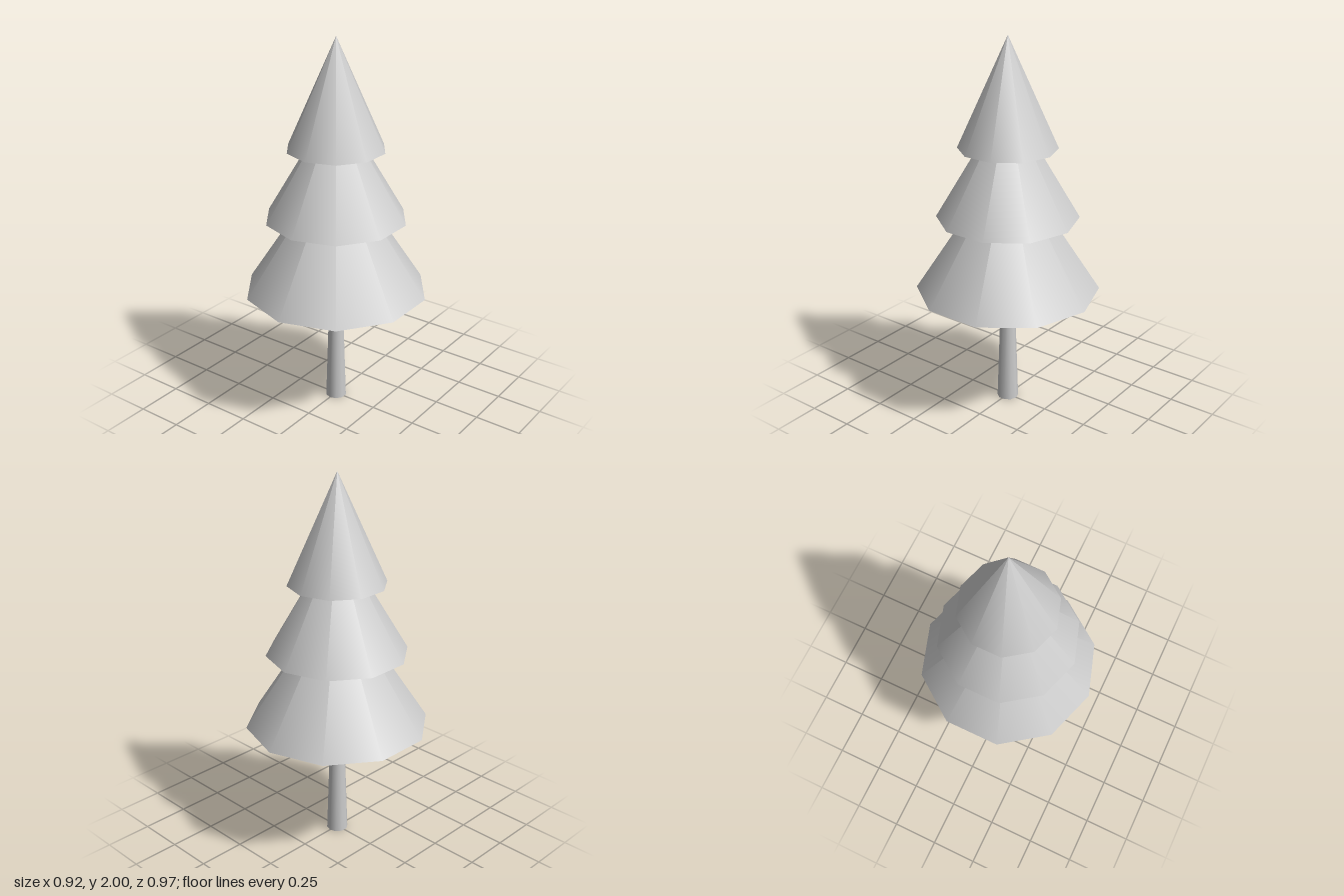
import * as THREE from 'three';

const SIDES = 10;

export function createModel() {
  const tree = new THREE.Group();
  tree.name = 'pineTree';
  const grey = new THREE.MeshStandardMaterial({ color: 0xcccccc, side: THREE.DoubleSide });
  grey.name = 'light grey';

  // Tapered trunk, open at both ends
  const trunkHeight = 0.68;
  const trunk = new THREE.Mesh(
    new THREE.CylinderGeometry(0.035, 0.057, trunkHeight, SIDES, 1, true), grey);
  trunk.name = 'trunk';
  trunk.position.y = trunkHeight / 2;
  tree.add(trunk);

  // Stacked foliage cones: radius, bottom, apex
  const tiers = [
    ['lowerFoliage', 0.484, 0.66, 1.40],
    ['middleFoliage', 0.371, 1.063, 1.69],
    ['upperFoliage', 0.256, 1.433, 2.0],
  ];
  for (const [name, radius, bottom, apex] of tiers) {
    const cone = new THREE.Mesh(new THREE.ConeGeometry(radius, apex - bottom, SIDES), grey);
    cone.name = name;
    cone.position.y = (bottom + apex) / 2;
    tree.add(cone);
  }
  return tree;
}
